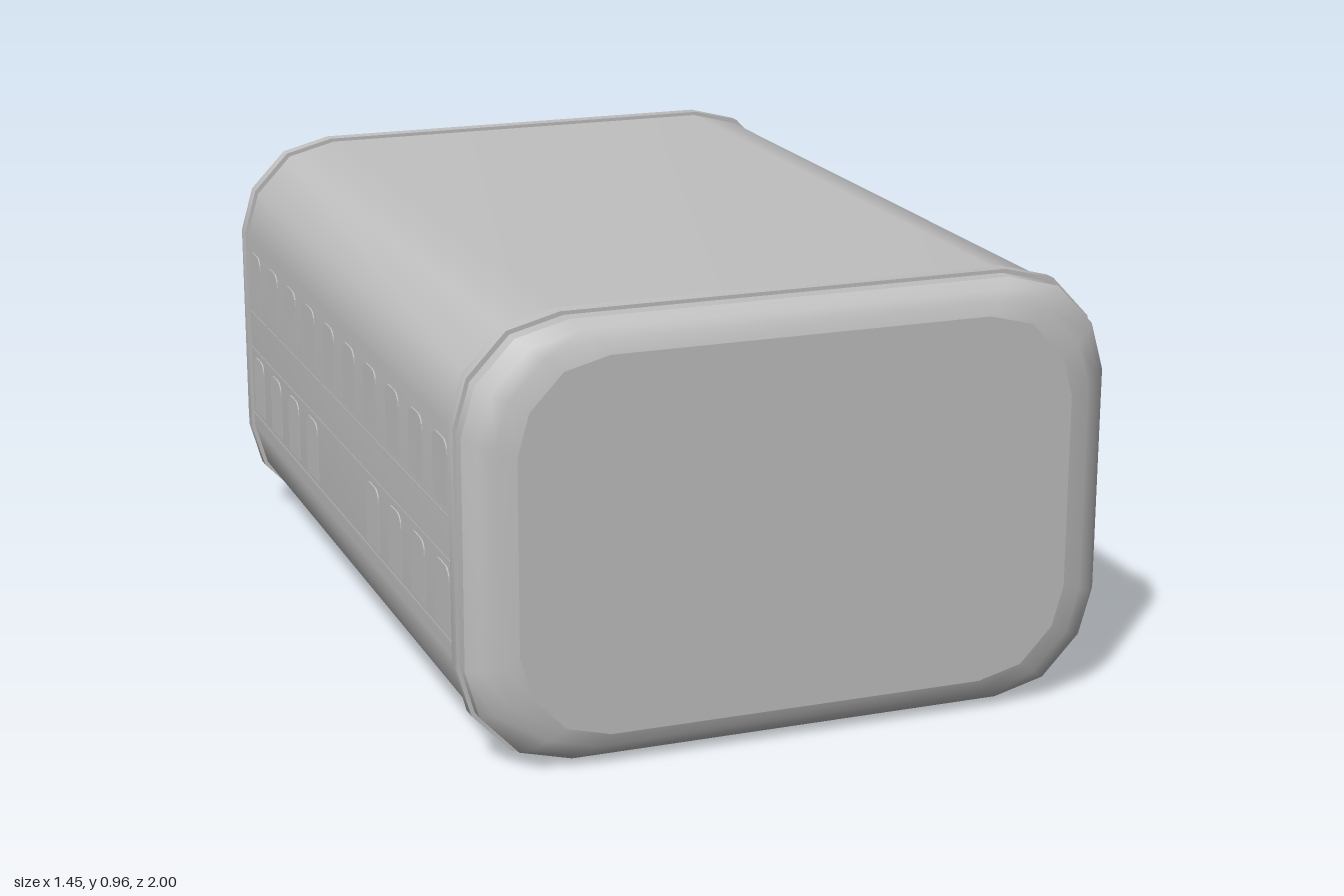
import * as THREE from 'three';
import { toCreasedNormals } from 'three/addons/utils/BufferGeometryUtils.js';

const CY = 0.4825; // height of the hull axis

// Rounded-rectangle section, counter-clockwise seen from +z, three facets per corner
function section(hw, hh) {
  const corner = [[0, 0.225], [0.03, 0.12], [0.115, 0.03], [0.23, 0]];
  const quads = [[1, 1, false], [-1, 1, true], [-1, -1, false], [1, -1, true]];
  return quads.flatMap(([sx, sy, flip]) => {
    const pts = corner.map(([dx, dy]) => [sx * (hw - dx), sy * (hh - dy)]);
    return flip ? pts.reverse() : pts;
  });
}

// Skin through stations [z, scale], listed from back to front
function loft(stations, hw, hh) {
  const ring = section(hw, hh), n = ring.length, pos = [], idx = [];
  for (const [z, s] of stations) for (const [x, y] of ring) pos.push(x * s, y * s + CY, z);
  for (let k = 0; k < stations.length - 1; k++) {
    for (let i = 0; i < n; i++) {
      const a = k * n + i, b = k * n + (i + 1) % n;
      idx.push(a, b, b + n, a, b + n, a + n);
    }
  }
  const g = new THREE.BufferGeometry();
  g.setAttribute('position', new THREE.Float32BufferAttribute(pos, 3));
  g.setIndex(idx);
  g.computeVertexNormals();
  return g;
}

// Arched window plate, drawn in the xy plane
function windowGeometry(w, h, depth) {
  const s = new THREE.Shape();
  const r = 0.03;
  s.moveTo(-w / 2, 0);
  s.lineTo(w / 2, 0);
  s.lineTo(w / 2, h - r);
  s.quadraticCurveTo(w / 2, h, w / 2 - r, h);
  s.lineTo(-w / 2 + r, h);
  s.quadraticCurveTo(-w / 2, h, -w / 2, h - r);
  s.closePath();
  return new THREE.ExtrudeGeometry(s, { depth, bevelEnabled: false, curveSegments: 4 });
}

export function createModel() {
  const model = new THREE.Group();
  model.name = 'hullSegment';
  const grey = new THREE.MeshStandardMaterial({ color: 0xc0c0c0 });
  grey.name = 'hull grey';
  const HW = 0.72, HH = 0.4745;

  const add = (name, geometry, parent = model) => {
    const m = new THREE.Mesh(geometry, grey);
    m.name = name;
    parent.add(m);
    return m;
  };

  // Main shell
  add('hull', loft([[-0.945, 1], [0.945, 1]], HW, HH));

  // Bevelled caps, flat end plates and raised bands at both ends
  const bevel = [[0.945, 1], [0.975, 0.965], [0.99, 0.92], [1, 0.86]];
  const bandProfile = [[-0.016, 0.98], [-0.016, 1], [0.016, 1], [0.016, 0.98]];
  const plate = new THREE.ShapeGeometry(new THREE.Shape(
    section(HW, HH).map(([x, y]) => new THREE.Vector2(x * 0.86, y * 0.86))));
  for (const side of [1, -1]) {
    const end = new THREE.Group();
    end.name = side > 0 ? 'frontEnd' : 'backEnd';
    model.add(end);
    end.rotation.y = side > 0 ? 0 : Math.PI;
    add('bevelledCap', loft(bevel, HW, HH), end);
    add('endPlate', plate, end).position.set(0, CY, 1);
    const band = toCreasedNormals(loft(bandProfile, 0.727, 0.4825), 0.6);
    add('raisedBand', band, end).position.z = 0.895;
  }

  // Two rows of windows and thin trim lines on each flank
  const pane = windowGeometry(0.1, 0.145, 0.003);
  const trim = new THREE.BoxGeometry(1.75, 0.006, 0.002);
  for (const side of [1, -1]) {
    const flank = new THREE.Group();
    flank.name = side > 0 ? 'leftFlank' : 'rightFlank';
    flank.position.x = side * HW;
    flank.rotation.y = side * Math.PI / 2;
    model.add(flank);
    for (let i = 0; i < 10; i++) {
      const x = (i - 4.5) * 0.178;
      add('upperWindow', pane, flank).position.set(x, 0.555, 0);
      // the lower row leaves a gap amidships
      if (i < 4 || i > 5) add('lowerWindow', pane, flank).position.set(x, 0.28, 0);
    }
    for (const y of [0.265, 0.44, 0.535]) add('trimLine', trim, flank).position.set(0, y, 0);
  }
  return model;
}
